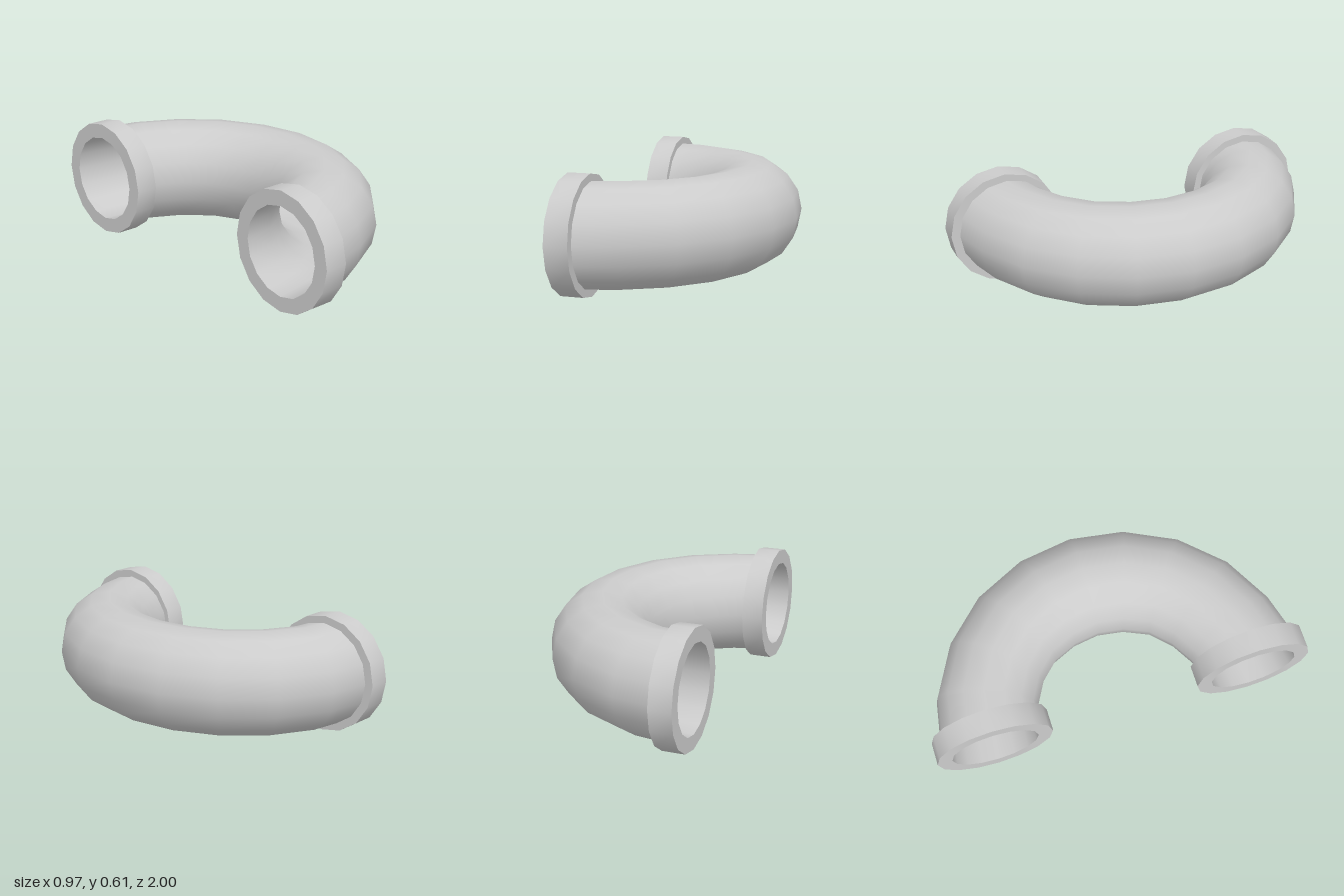
import * as THREE from 'three';
import { toCreasedNormals } from 'three/addons/utils/BufferGeometryUtils.js';

const SIDES = 16, AXIS_Y = 0.305, TUBE_R = 0.2665, BORE_R = 0.228, COLLAR_R = 0.305;
const END_Z = 0.695;

// Sections of the bend: outer x, outer z, inner x, inner z
const SECTIONS = [
  [-0.42, -0.965, -0.42, -0.432],
  [-0.16, -0.918, -0.335, -0.425],
  [0.10, -0.78, -0.22, -0.362],
  [0.305, -0.57, -0.125, -0.265],
  [0.438, -0.30, -0.07, -0.14],
  [0.483, -0.01, -0.05, -0.01],
  [0.438, 0.28, -0.07, 0.12],
  [0.305, 0.548, -0.125, 0.245],
  [0.10, 0.76, -0.22, 0.338],
  [-0.155, 0.897, -0.335, 0.405],
  [-0.42, 0.968, -0.42, 0.432],
];

// Skin a tube over the sections; inward = true makes it face the inside
function bend(sections, radius, inward) {
  const pos = [], idx = [], k = radius / TUBE_R;
  sections.forEach(([ox, oz, ix, iz], i) => {
    const cx = (ox + ix) / 2, cz = (oz + iz) / 2;
    const hx = (ox - ix) / 2 * k, hz = (oz - iz) / 2 * k;
    for (let j = 0; j < SIDES; j++) {
      const t = j / SIDES * Math.PI * 2;
      pos.push(cx + hx * Math.cos(t), AXIS_Y + radius * Math.sin(t), cz + hz * Math.cos(t));
      if (i === sections.length - 1) continue;
      const a = i * SIDES + j, b = i * SIDES + (j + 1) % SIDES;
      const c = a + SIDES, d = b + SIDES;
      if (inward) idx.push(a, c, b, b, c, d);
      else idx.push(a, b, c, b, d, c);
    }
  });
  const g = new THREE.BufferGeometry();
  g.setAttribute('position', new THREE.Float32BufferAttribute(pos, 3));
  g.setIndex(idx);
  g.computeVertexNormals();
  return g;
}

// End collar: flat mouth ring, rim and step down to the pipe
function collar(side) {
  const profile = [[BORE_R, -0.485], [COLLAR_R, -0.485], [COLLAR_R, -0.368], [0.235, -0.368]]
    .map(([r, y]) => new THREE.Vector2(r, y));
  const g = new THREE.LatheGeometry(profile, SIDES);
  g.rotateZ(-Math.PI / 2);
  // the front collar's step leans slightly
  const p = g.attributes.position;
  if (side > 0) {
    for (let i = 0; i < p.count; i++) {
      if (p.getX(i) > -0.4) p.setX(i, p.getX(i) + 0.02 * p.getZ(i));
    }
  }
  g.translate(0, AXIS_Y, side * END_Z);
  return toCreasedNormals(g, Math.PI / 5);
}

export function createModel() {
  const group = new THREE.Group();
  group.name = 'pipeBend';
  const material = new THREE.MeshStandardMaterial({ color: 0xcccccc });
  const add = (name, geometry) => {
    const mesh = new THREE.Mesh(geometry, material);
    mesh.name = name;
    group.add(mesh);
  };

  add('pipe', bend(SECTIONS, TUBE_R, false));

  // Bore runs right out to both collar mouths
  const mouth = (s) => [-0.485, s * (END_Z + TUBE_R), -0.485, s * (END_Z - TUBE_R)];
  add('bore', bend([mouth(-1), ...SECTIONS.slice(1, -1), mouth(1)], BORE_R, true));

  add('backCollar', collar(-1));
  add('frontCollar', collar(1));
  return group;
}
